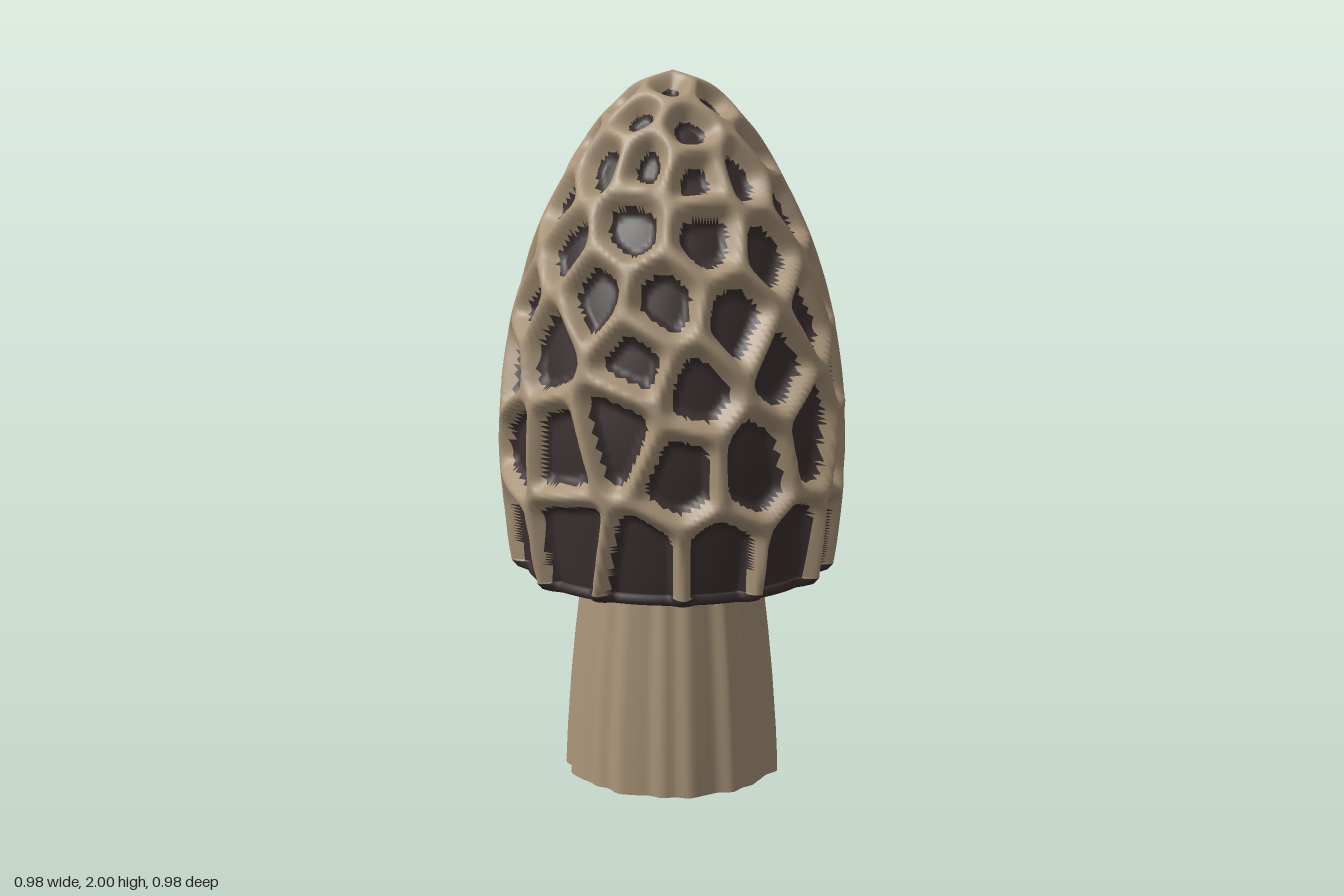
import * as THREE from 'three';
import { mergeVertices } from 'three/addons/utils/BufferGeometryUtils.js';

const flesh = new THREE.MeshStandardMaterial({ color: 0xa89378 });
flesh.name = 'tan flesh';
const pit = new THREE.MeshStandardMaterial({ color: 0x3b3030 });
pit.name = 'dark pit';

// Cap silhouette, rim to tip
const outline = new THREE.SplineCurve([
  [0.462, 0.625], [0.473, 0.7], [0.485, 0.83], [0.492, 1.0], [0.475, 1.2], [0.434, 1.4],
  [0.363, 1.6], [0.255, 1.8], [0.175, 1.9], [0.1, 1.965], [0, 2.0],
].map(([r, y]) => new THREE.Vector2(r, y))).getPoints(150);

function radiusAt(y) {
  const i = outline.findIndex((p) => p.y >= y);
  return i < 0 ? 0 : outline[i].x;
}
function heightAt(r) {
  for (let i = outline.length - 1; i >= 0; i--) if (outline[i].x >= r) return outline[i].y;
  return 1;
}
function randomizer(seed) {
  return () => {
    seed = (seed * 1664525 + 1013904223) % 4294967296;
    return seed / 4294967296;
  };
}

// Pit centres: [x, y] on the front, [z, y] on the left side, [x, z] on the dome
const frontPits = [
  [0.09, 1.53], [-0.1, 1.58], [-0.24, 1.4], [-0.05, 1.35], [0.22, 1.37], [-0.18, 1.18],
  [0.08, 1.23], [-0.03, 0.98], [-0.22, 0.97], [0.19, 1.06], [-0.36, 1.08], [0.36, 1.2],
  [-0.12, 0.72], [0.13, 0.7], [-0.3, 0.71], [0.33, 0.71], [-0.27, 1.6], [0.2, 1.64], [0.06, 1.73],
];
const sidePits = [
  [0.12, 1.66], [-0.05, 1.66], [-0.18, 1.7], [0.15, 1.45], [0.01, 1.41], [-0.15, 1.44],
  [0.28, 1.6], [0.3, 1.42], [0.16, 1.2], [0, 1.14], [-0.19, 1.09], [0.29, 1.18], [-0.31, 1.3],
  [0.15, 0.96], [-0.04, 0.93], [0.32, 0.98], [-0.37, 1.05], [0.07, 0.7], [-0.15, 0.72],
  [0.24, 0.71], [-0.34, 0.71], [-0.1, 1.27],
];
const domePits = [
  [-0.04, -0.08], [0.09, 0], [-0.05, 0.07], [0.2, -0.06], [-0.14, -0.03], [-0.13, -0.17],
  [-0.02, -0.29], [0.05, -0.16], [0.23, -0.19], [0.06, 0.13], [-0.07, 0.21], [0.11, -0.25],
  [0.09, -0.36], [0.33, -0.09], [-0.25, -0.17], [-0.26, 0.08], [-0.27, 0.21], [-0.38, -0.15],
  [0.3, 0.1], [-0.17, 0.09], [0.15, 0.2],
];
const STRETCH = 0.85; // pits are taller than wide
const cellSpace = (x, y, z) => new THREE.Vector3(x, y * STRETCH, z);
const spacing = (y) => THREE.MathUtils.mapLinear(y, 0.6, 2, 0.2, 0.115);

function makeSeeds() {
  const seeds = [];
  const nearest = (p) => seeds.reduce((d, s) => Math.min(d, s.distanceTo(p)), 9);
  const add = (p, gap) => { if (nearest(p) > gap) seeds.push(p); };
  const depth = (a, y) => Math.sqrt(Math.max(0, radiusAt(y) ** 2 - a * a));
  frontPits.forEach(([x, y]) => add(cellSpace(x, y, depth(x, y)), 0.1));
  sidePits.forEach(([z, y]) => add(cellSpace(depth(z, y), y, z), 0.1));
  domePits.forEach(([x, z]) => add(cellSpace(x, heightAt(Math.hypot(x, z)), z), 0.09));
  // Fill the remaining surface with evenly spaced pits
  const rand = randomizer(11);
  const candidates = Array.from({ length: 1500 }, () => {
    const y = 0.69 + 1.27 * rand(), a = rand() * Math.PI * 2, r = radiusAt(y);
    return cellSpace(r * Math.sin(a), y, r * Math.cos(a));
  });
  for (let n = 0; n < 90; n++) {
    let best = null, score = 0.88;
    for (const c of candidates) {
      const s = nearest(c) / spacing(c.y / STRETCH);
      if (s > score) { score = s; best = c; }
    }
    if (!best) break;
    seeds.push(best);
  }
  return seeds;
}

// Softened distance from a point to the border of its cell
function borderDistance(p, seeds) {
  const home = seeds.reduce((a, b) => (a.distanceToSquared(p) < b.distanceToSquared(p) ? a : b));
  const d1 = home.distanceToSquared(p), k = 0.01;
  let sum = 0;
  for (const s of seeds) {
    if (s === home) continue;
    sum += Math.exp(-(s.distanceToSquared(p) - d1) / (2 * s.distanceTo(home)) / k);
  }
  return Math.max(0, -k * Math.log(sum));
}

function makeCap() {
  const underside = [];
  for (let i = 0; i < 12; i++) {
    underside.push(new THREE.Vector2(0.2 + 0.225 * i / 11, 0.572 + 0.028 * (i / 11) ** 2));
  }
  underside.push(new THREE.Vector2(0.447, 0.608));
  let geo = new THREE.LatheGeometry([...underside, ...outline], 240);
  geo.deleteAttribute('uv');
  const nor0 = geo.attributes.normal, pos0 = geo.attributes.position;
  for (let i = 0; i < pos0.count; i++) {
    if (pos0.getY(i) > 1.9999) { pos0.setXYZ(i, 0, 2, 0); nor0.setXYZ(i, 0, 1, 0); }
  }
  geo = mergeVertices(geo, 1e-4);

  // Sink the pits and remember how dark each vertex is
  const seeds = makeSeeds();
  const pos = geo.attributes.position, nor = geo.attributes.normal, dark = [];
  const smooth = THREE.MathUtils.smoothstep;
  for (let i = 0; i < pos.count; i++) {
    const x = pos.getX(i), y = pos.getY(i), z = pos.getZ(i);
    const e = borderDistance(cellSpace(x, y, z), seeds);
    const edge = THREE.MathUtils.mapLinear(y, 0.6, 2, 0.024, 0.036);
    const d = 0.055 * smooth(e, 0.004, edge + 0.014);
    dark.push(y < 0.618 ? 1 : e - edge);
    pos.setXYZ(i, x - nor.getX(i) * d, y - Math.max(0, nor.getY(i)) * d, z - nor.getZ(i) * d);
  }

  // Sort faces into ridge and pit groups
  const ridges = [], pits = [], idx = geo.index.array;
  for (let i = 0; i < idx.length; i += 3) {
    const [a, b, c] = [idx[i], idx[i + 1], idx[i + 2]];
    if (a === b || b === c || c === a) continue;
    (dark[a] + dark[b] + dark[c] > 0 ? pits : ridges).push(a, b, c);
  }
  geo.setIndex([...ridges, ...pits]);
  geo.addGroup(0, ridges.length, 0);
  geo.addGroup(ridges.length, pits.length, 1);
  geo.computeVertexNormals();
  const cap = new THREE.Mesh(geo, [flesh, pit]);
  cap.name = 'honeycombCap';
  return cap;
}

// Fluted stem, closed by a shallow cone underneath
function flute(geo) {
  geo.deleteAttribute('uv');
  geo.deleteAttribute('normal');
  geo = mergeVertices(geo, 1e-4);
  const pos = geo.attributes.position;
  for (let i = 0; i < pos.count; i++) {
    const x = pos.getX(i), z = pos.getZ(i), a = Math.atan2(x, z);
    const s = 1 + 0.016 * Math.sin(11 * a) + 0.014 * Math.sin(19 * a + 1.3) + 0.008 * Math.sin(29 * a + 0.5);
    pos.setX(i, x * s);
    pos.setZ(i, z * s);
  }
  geo.computeVertexNormals();
  return geo;
}
function makeStem() {
  const stem = new THREE.Group();
  stem.name = 'stem';
  const side = [[0.31, 0.022], [0.305, 0.12], [0.293, 0.28], [0.279, 0.42], [0.262, 0.56], [0.255, 0.63]];
  const base = [[0, 0.002], [0.1, 0.008], [0.31, 0.022]];
  [['flutedStalk', side], ['stalkBase', base]].forEach(([name, pts]) => {
    const geo = new THREE.LatheGeometry(pts.map(([r, y]) => new THREE.Vector2(r, y)), 144);
    const mesh = new THREE.Mesh(flute(geo), flesh);
    mesh.name = name;
    stem.add(mesh);
  });
  return stem;
}

export function createModel() {
  const model = new THREE.Group();
  model.name = 'morelMushroom';
  model.add(makeStem(), makeCap());
  return model;
}
